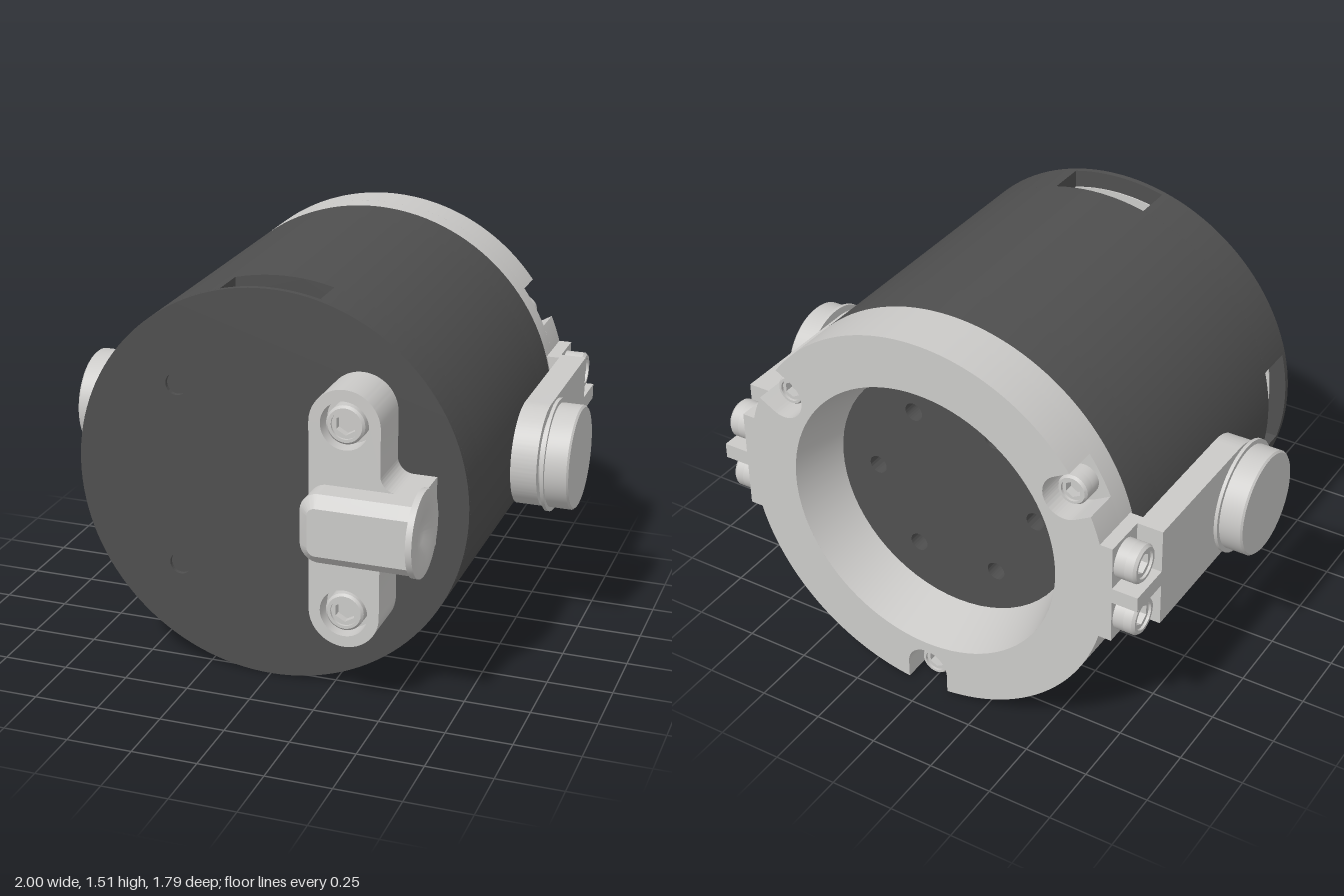
import * as THREE from 'three';
import { toCreasedNormals } from 'three/addons/utils/BufferGeometryUtils.js';

const PI = Math.PI;
const R = 0.757;
const dark = new THREE.MeshStandardMaterial({ color: 0x4f4f4f });
dark.name = 'charcoal';
const light = new THREE.MeshStandardMaterial({ color: 0xcbcac8 });
light.name = 'light grey';

function add(parent, name, geo, mat) {
  const m = new THREE.Mesh(toCreasedNormals(geo, 0.5), mat);
  m.name = name;
  parent.add(m);
  return m;
}

// Extrude a shape between two z positions
function slab(shape, z0, z1, segs = 48) {
  return new THREE.ExtrudeGeometry(shape, { depth: z1 - z0, bevelEnabled: false, curveSegments: segs }).translate(0, 0, z0);
}

function circle(r, x = 0, y = 0) {
  return new THREE.Shape().absarc(x, y, r, 0, 2 * PI, false);
}

function lathe(pts, segs = 64) {
  return new THREE.LatheGeometry(pts.map(p => new THREE.Vector2(...p)), segs);
}

// Socket head screw whose head points along +z, seated at z = 0
function screw(r, h) {
  const g = new THREE.Group();
  g.name = 'screw';
  const head = circle(r);
  const hex = new THREE.Path();
  for (let i = 0; i <= 6; i++) {
    const a = i * PI / 3 + PI / 6;
    hex[i ? 'lineTo' : 'moveTo'](Math.cos(a) * r * 0.55, Math.sin(a) * r * 0.55);
  }
  head.holes.push(hex);
  add(g, 'screwBase', slab(circle(r), 0, h * 0.5, 16), light);
  add(g, 'screwHead', slab(head, h * 0.5, h * 0.88, 16), light);
  // Chamfered rim
  add(g, 'screwRim', lathe([[r, h * 0.88], [r * 0.88, h], [r * 0.72, h], [r * 0.72, h * 0.88]], 32).rotateX(PI / 2), light);
  return g;
}

// Drum body with a windowed chamber behind the front plate
function buildBody(root) {
  const g = new THREE.Group();
  g.name = 'drum';
  root.add(g);
  const floor = circle(R);
  for (let i = 0; i < 6; i++) {
    floor.holes.push(circle(0.036, 0.34 * Math.cos(i * PI / 3), 0.34 * Math.sin(i * PI / 3)));
  }
  add(g, 'rearFloor', slab(floor, -0.67, -0.5, 64), dark);
  add(g, 'drumCore', slab(circle(R), -0.5, 0.36, 64), dark);

  // Chamber wall, left open at the top, one side and the bottom
  const inner = 0.69, ao = Math.asin(0.19 / R), ai = Math.asin(0.19 / inner);
  for (const [from, to] of [[PI / 2, PI], [PI, 1.5 * PI], [1.5 * PI, 2.5 * PI]]) {
    const s = new THREE.Shape();
    s.absarc(0, 0, R, from + ao, to - ao, false);
    s.absarc(0, 0, inner, to - ai, from + ai, true);
    add(g, 'chamberWall', slab(s, 0.36, 0.51), dark);
  }
  const plate = circle(R);
  for (const y of [-0.3575, 0.3575]) plate.holes.push(circle(0.042, -0.36, y));
  add(g, 'frontPlate', slab(plate, 0.514, 0.53, 64), dark);
  add(g, 'frontPlateBacking', slab(circle(R), 0.508, 0.514, 64), dark);
  add(g, 'chamberLining', slab(circle(inner), 0.503, 0.508, 64), light);
}

// Rear ring with three notched screw seats
function buildRing(root) {
  const g = new THREE.Group();
  g.name = 'rearRing';
  root.add(g);
  const w = 0.085, rc = 0.68, d = Math.asin(w / R);
  const s = new THREE.Shape();
  const angles = [PI / 6, 5 * PI / 6, 1.5 * PI];
  angles.forEach((a, i) => {
    const next = i < 2 ? angles[i + 1] : angles[0] + 2 * PI;
    s.absarc(rc * Math.cos(a), rc * Math.sin(a), w, a - PI / 2, a + PI / 2, true);
    s.absarc(0, 0, R, a + d, next - d, false);
    const sc = screw(0.058, 0.085);
    sc.rotation.y = PI;
    sc.position.set(rc * Math.cos(a), rc * Math.sin(a), -0.755);
    g.add(sc);
  });
  s.closePath();
  const base = circle(R);
  for (const q of [s, base]) q.holes.push(circle(0.555));
  add(g, 'notchedRing', slab(s, -0.89, -0.755), light);
  add(g, 'ringBase', slab(base, -0.755, -0.67, 64), light);
  add(g, 'ringBore', lathe([[0.5, -0.67], [0.555, -0.89]]).rotateX(PI / 2), light);
}

// Side arm with trunnion, made for +x and turned for the other side
function buildArm(root, turn) {
  const g = new THREE.Group();
  g.name = turn ? 'rightArm' : 'leftArm';
  g.rotation.z = turn;
  root.add(g);
  const s = new THREE.Shape();
  s.absarc(0.145, 0, 0.2, PI / 2, 1.5 * PI, false);
  s.lineTo(0.72, -0.2);
  s.lineTo(0.72, 0.2);
  s.closePath();
  add(g, 'armPlate', slab(s, 0.78, 0.88).rotateY(PI / 2), light);
  add(g, 'armPad', new THREE.BoxGeometry(0.15, 0.4, 0.21).translate(0.705, 0, -0.785), light);
  add(g, 'armRib', new THREE.BoxGeometry(0.1, 0.06, 0.17).translate(0.83, 0, -0.805), light);
  const profile = [[0.165, 0.87], [0.165, 0.897], [0.217, 0.897], [0.217, 0.91],
    [0.2, 0.91], [0.2, 0.993], [0.193, 1], [0, 1]];
  add(g, 'trunnion', lathe(profile).rotateZ(-PI / 2).translate(0, 0, -0.145), light);
  for (const y of [-0.113, 0.113]) {
    const sc = screw(0.073, 0.085);
    sc.rotation.y = PI / 2;
    sc.position.set(0.778, y, -0.808);
    g.add(sc);
  }
}

// Front bracket with a chamfered bar and round end socket
function buildBracket(root) {
  const g = new THREE.Group();
  g.name = 'frontBracket';
  root.add(g);
  const cx = 0.3575, r = 0.1325, end = 0.637;
  const s = new THREE.Shape();
  s.absarc(cx, -cx, r, PI, 2 * PI, false);
  s.absarc(0.55, -0.19, 0.06, PI, PI / 2, true);
  s.lineTo(end, -0.13);
  s.lineTo(end, 0.13);
  s.absarc(0.55, 0.19, 0.06, -PI / 2, -PI, true);
  s.absarc(cx, cx, r, 0, PI, false);
  s.closePath();
  for (const y of [-cx, cx]) {
    s.holes.push(circle(0.09, cx, y));
    add(g, 'screwSeat', slab(circle(0.09, cx, y), 0.53, 0.65, 24), light);
    const sc = screw(0.072, 0.075);
    sc.position.set(cx, y, 0.65);
    g.add(sc);
  }
  add(g, 'bracketPlate', slab(s, 0.53, 0.73, 24), light);

  // Chamfered bar, cut flat at its socket end
  const b = new THREE.Shape();
  b.moveTo(0.7, -0.09);
  b.lineTo(0.7, 0.09);
  b.absarc(0.295, 0.06, 0.03, PI / 2, PI, false);
  b.absarc(0.295, -0.06, 0.03, PI, 1.5 * PI, false);
  b.closePath();
  const bar = new THREE.ExtrudeGeometry(b, {
    depth: 0.22, bevelSize: 0.04, bevelThickness: 0.04, bevelSegments: 1, curveSegments: 8
  }).translate(0, 0, 0.6);
  const p = bar.attributes.position;
  for (let i = 0; i < p.count; i++) p.setX(i, Math.min(p.getX(i), end));
  add(g, 'bracketBar', bar, light);
  const socket = [[0, 0.634], [0.16, 0.634], [0.16, 0.657], [0.085, 0.657], [0.045, 0.641], [0, 0.638]];
  add(g, 'endSocket', lathe(socket, 48).rotateZ(-PI / 2).translate(0, 0, 0.737), light);
}

export function createModel() {
  const model = new THREE.Group();
  model.name = 'drumHousing';
  const root = new THREE.Group();
  root.name = 'assembly';
  root.position.y = 0.76;
  model.add(root);
  buildBody(root);
  buildRing(root);
  buildArm(root, 0);
  buildArm(root, PI);
  buildBracket(root);
  return model;
}
